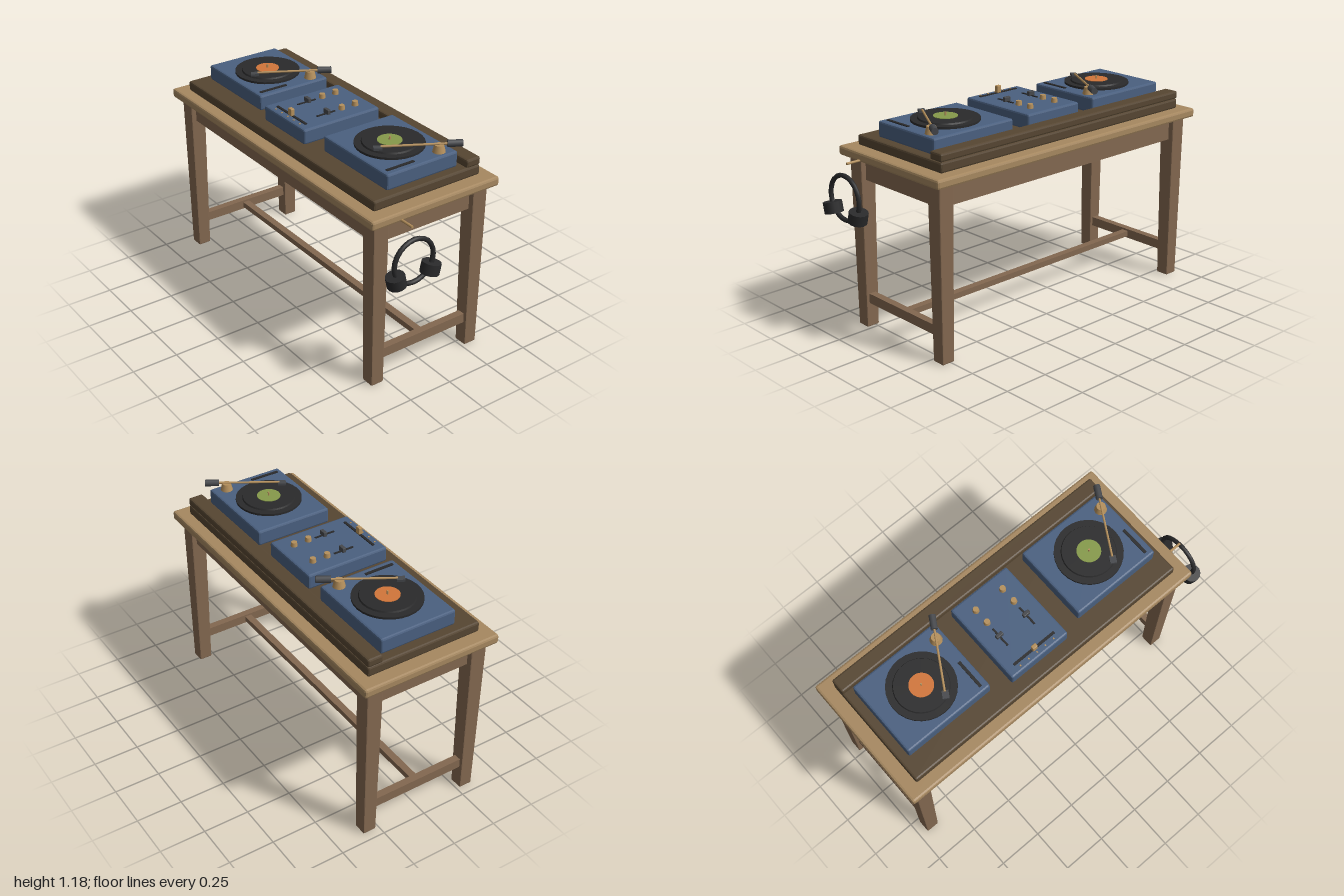
import * as THREE from 'three';
import { RoundedBoxGeometry } from 'three/addons/geometries/RoundedBoxGeometry.js';

const material = (name, color) => {
  const m = new THREE.MeshStandardMaterial({ color });
  m.name = name;
  return m;
};

export function createModel() {
  const wood = material('leg wood', 0x836850);
  const tan = material('table top wood', 0xa68860);
  const dark = material('dark wood', 0x564632);
  const blue = material('blue casing', 0x4a6080);
  const black = material('black', 0x2a2a2b);
  const grey = material('dark grey', 0x46484c);
  const brass = material('brass', 0xb5905c);
  const orange = material('orange label', 0xd2763a);
  const green = material('green label', 0x869a4a);

  const root = new THREE.Group();
  root.name = 'djTable';
  const V = (x, y, z) => new THREE.Vector3(x, y, z);

  const add = (parent, name, geo, mat, x = 0, y = 0, z = 0) => {
    const m = new THREE.Mesh(geo, mat);
    m.name = name;
    m.position.set(x, y, z);
    parent.add(m);
    return m;
  };
  // Box with one-step chamfered edges, flat faces
  const chamfer = (w, h, d, r) => {
    const g = new RoundedBoxGeometry(w, h, d, 1, r);
    g.computeVertexNormals();
    return g;
  };
  const box = (w, h, d) => new THREE.BoxGeometry(w, h, d);
  const cyl = (rt, rb, h, n = 16) => new THREE.CylinderGeometry(rt, rb, h, n);
  // Straight round bar between two points
  const rod = (parent, name, mat, a, b, r, n = 8) => {
    const m = add(parent, name, cyl(r, r, a.distanceTo(b), n), mat);
    m.position.copy(a).add(b).multiplyScalar(0.5);
    m.quaternion.setFromUnitVectors(V(0, 1, 0), b.clone().sub(a).normalize());
    return m;
  };

  // Table, centred left of the origin because the headphones hang on one side
  const table = new THREE.Group();
  table.name = 'table';
  table.position.x = -0.075;
  root.add(table);
  add(table, 'tableTop', chamfer(1.85, 0.05, 0.78, 0.012), tan, 0, 0.957, 0);

  // Legs narrow toward the floor
  const legGeo = chamfer(0.09, 0.93, 0.09, 0.006);
  const p = legGeo.attributes.position;
  for (let i = 0; i < p.count; i++) {
    const s = 0.81 + 0.19 * (p.getY(i) / 0.93 + 0.5);
    p.setX(i, p.getX(i) * s);
    p.setZ(i, p.getZ(i) * s);
  }
  legGeo.computeVertexNormals();
  for (const sx of [-1, 1]) {
    for (const sz of [-1, 1]) add(table, 'leg', legGeo, wood, sx * 0.84, 0.465, sz * 0.305);
    add(table, 'sideApron', box(0.03, 0.12, 0.53), wood, sx * 0.84, 0.872, 0);
    add(table, 'sideStretcher', box(0.04, 0.053, 0.54), wood, sx * 0.84, 0.161, 0);
  }
  for (const sz of [-1, 1]) {
    add(table, 'longApron', box(1.6, 0.12, 0.03), wood, 0, 0.872, sz * 0.305);
  }
  add(table, 'longStretcher', box(1.66, 0.032, 0.04), wood, 0, 0.161, 0);

  // Plinth and raised rear strip
  add(table, 'plinth', chamfer(1.7, 0.055, 0.65, 0.01), dark, 0, 1.01, 0);
  add(table, 'rearStrip', chamfer(1.7, 0.044, 0.085, 0.01), dark, 0, 1.059, -0.283);

  // Turntables
  const turntable = (x, label) => {
    const g = new THREE.Group();
    g.name = 'turntable';
    g.position.x = x;
    root.add(g);
    add(g, 'case', chamfer(0.515, 0.085, 0.432, 0.01), blue, 0, 1.08, -0.002);
    add(g, 'platter', cyl(0.177, 0.177, 0.012, 28), black, 0, 1.128, 0);
    add(g, 'record', cyl(0.138, 0.142, 0.008, 28), black, 0, 1.138, 0);
    add(g, 'label', cyl(0.063, 0.063, 0.003, 24), label, 0, 1.1435, 0);
    add(g, 'spindle', cyl(0.005, 0.005, 0.02, 8), brass, 0, 1.153, 0);
    add(g, 'speedSlot', box(0.016, 0.006, 0.165), black, 0.217, 1.124, 0.105);
    // Tonearm, running from the counterweight over its pivot to the cartridge
    const pivot = V(0.207, 1.164, -0.14), tip = V(0.062, 1.162, 0.105);
    const dir = tip.clone().sub(pivot).normalize();
    const along = (d) => pivot.clone().addScaledVector(dir, d);
    add(g, 'tonearmBase', cyl(0.024, 0.035, 0.046, 12), brass, 0.207, 1.138, -0.14);
    rod(g, 'tonearm', brass, along(-0.05), tip, 0.006);
    rod(g, 'counterweight', grey, along(-0.115), along(-0.04), 0.018, 10);
    const shell = add(g, 'cartridge', box(0.034, 0.012, 0.042), grey, 0.056, 1.155, 0.118);
    shell.rotation.y = Math.atan2(dir.x, dir.z);
  };
  turntable(-0.617, orange);
  turntable(0.471, green);

  // Mixer
  const mixer = new THREE.Group();
  mixer.name = 'mixer';
  mixer.position.x = -0.075;
  root.add(mixer);
  add(mixer, 'case', chamfer(0.364, 0.083, 0.472, 0.01), blue, 0, 1.079, 0.02);
  for (const sx of [-1, 1]) {
    const x = sx * 0.087;
    for (const z of [-0.13, -0.045]) add(mixer, 'knob', cyl(0.015, 0.018, 0.024, 12), brass, x, 1.132, z);
    add(mixer, 'faderSlot', box(0.01, 0.006, 0.115), black, x, 1.122, 0.055);
    add(mixer, 'faderCap', chamfer(0.04, 0.026, 0.02, 0.003), grey, x, 1.134, 0.048);
  }
  add(mixer, 'crossfaderSlot', box(0.262, 0.006, 0.014), black, 0, 1.122, 0.208);
  add(mixer, 'crossfaderCap', chamfer(0.03, 0.04, 0.022, 0.004), brass, 0, 1.142, 0.21);
  for (let i = -2; i <= 2; i++) {
    add(mixer, 'tickMark', box(0.007, 0.004, 0.009), brass, i * 0.054, 1.122, 0.232);
  }

  // Peg and hanging headphones
  rod(root, 'peg', brass, V(0.83, 0.94, 0.217), V(0.927, 0.94, 0.217), 0.007);
  const phones = new THREE.Group();
  phones.name = 'headphones';
  phones.position.set(0.946, 0.766, 0.217);
  root.add(phones);
  const band = add(phones, 'headband', new THREE.TorusGeometry(0.117, 0.0125, 8, 24), black);
  band.rotation.y = Math.PI / 2;
  for (const s of [-1, 1]) {
    const cup = add(phones, 'earCup', cyl(0.049, 0.049, 0.058, 14), black, 0, -0.072, s * 0.104);
    cup.rotation.x = s * 0.235;
  }
  return root;
}
